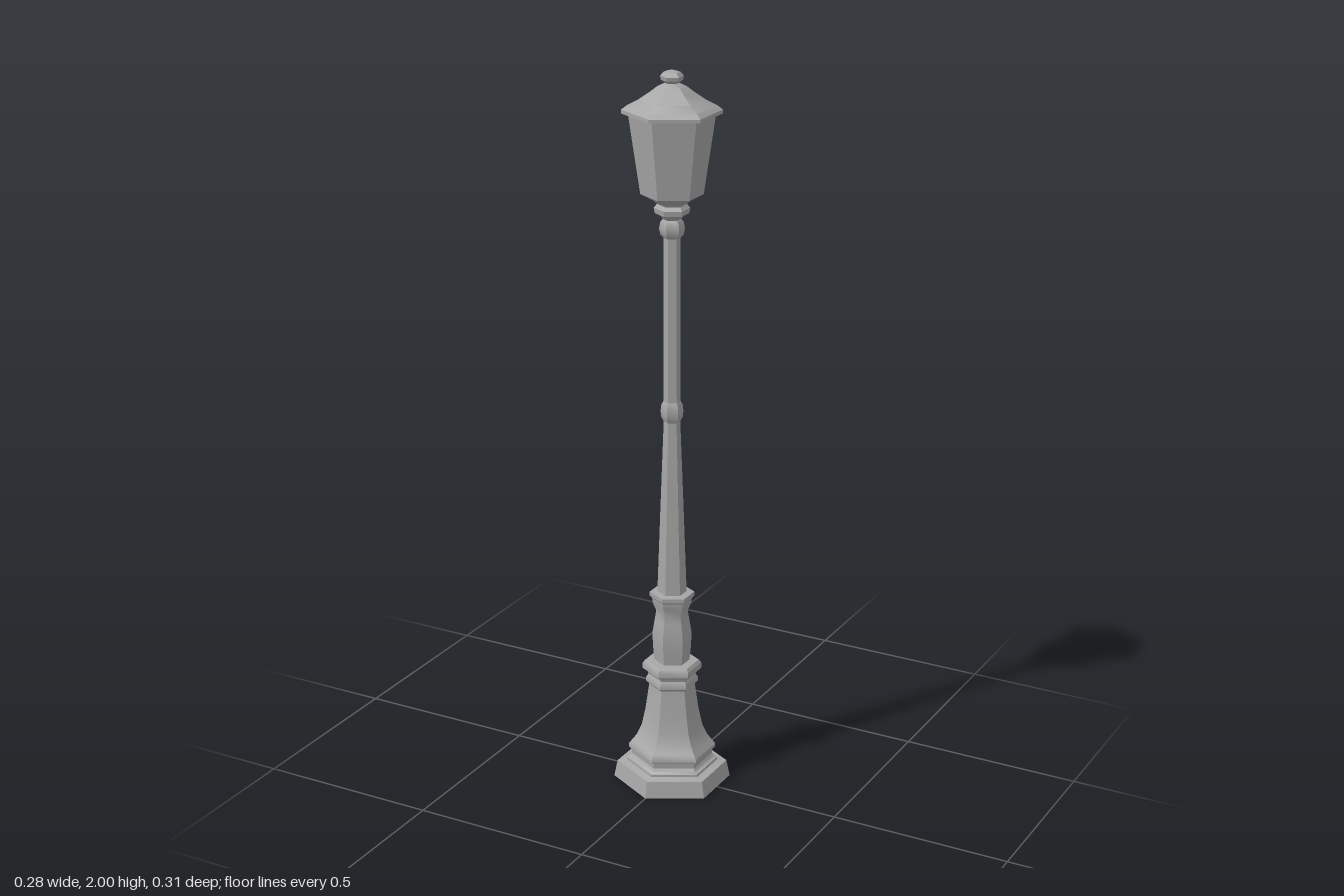
import * as THREE from 'three';
import { toCreasedNormals } from 'three/addons/utils/BufferGeometryUtils.js';

export function createModel() {
  const group = new THREE.Group();
  const iron = new THREE.MeshStandardMaterial({ color: 0xa6a6a6 });
  iron.name = 'grey iron';

  // Six-sided turned part, profile given as [radius, height] from bottom to top
  function turned(name, profile) {
    const points = profile.map(([r, y]) => new THREE.Vector2(r, y));
    const geometry = new THREE.LatheGeometry(points, 6);
    geometry.scale(1.06, 1, 1); // hexagon is slightly wide across its flats
    const mesh = new THREE.Mesh(toCreasedNormals(geometry, 0.6), iron);
    mesh.name = name;
    group.add(mesh);
  }

  // Stepped plinth
  turned('plinth', [[0, 0], [0.154, 0], [0.145, 0.047], [0.12, 0.05], [0.12, 0.057], [0.112, 0.062]]);

  // Flared pedestal with its foot moulding
  turned('pedestal', [
    [0.112, 0.062], [0.106, 0.07], [0.107, 0.084], [0.115, 0.09], [0.115, 0.1], [0.106, 0.112],
    [0.094, 0.128], [0.08, 0.16], [0.07, 0.21], [0.06, 0.285],
  ]);

  // Double collar on top of the pedestal
  turned('pedestalCollar', [
    [0.06, 0.285], [0.068, 0.293], [0.068, 0.305], [0.062, 0.315], [0.065, 0.324], [0.077, 0.332],
    [0.077, 0.348], [0.07, 0.357], [0.046, 0.358],
  ]);

  // Vase-shaped stem and its cap
  turned('vase', [
    [0.046, 0.358], [0.05, 0.4], [0.051, 0.44], [0.045, 0.48], [0.041, 0.505], [0.05, 0.528],
    [0.052, 0.543], [0.058, 0.549], [0.058, 0.561], [0.038, 0.563],
  ]);

  // Tapered lower pole, ring and straight upper pole
  turned('lowerPole', [[0.038, 0.563], [0.03, 0.8], [0.021, 1.055]]);
  turned('poleRing', [[0.021, 1.055], [0.027, 1.066], [0.029, 1.085], [0.027, 1.102], [0.022, 1.112]]);
  turned('upperPole', [[0.022, 1.112], [0.021, 1.56]]);

  // Knob and cup carrying the lantern
  turned('lanternNeck', [
    [0.021, 1.56], [0.029, 1.568], [0.032, 1.585], [0.029, 1.602], [0.023, 1.61], [0.029, 1.618],
    [0.043, 1.626], [0.045, 1.64], [0.037, 1.65], [0.045, 1.658],
  ]);

  // Lantern body, widening upwards
  turned('lantern', [[0.045, 1.658], [0.078, 1.676], [0.107, 1.885]]);

  // Eave and swept roof
  turned('roof', [
    [0.107, 1.885], [0.124, 1.887], [0.124, 1.897], [0.11, 1.908], [0.082, 1.923], [0.055, 1.942],
    [0.035, 1.958], [0.018, 1.966],
  ]);

  // Finial
  turned('finial', [[0.018, 1.966], [0.027, 1.974], [0.029, 1.984], [0.021, 1.994], [0, 2]]);

  return group;
}
